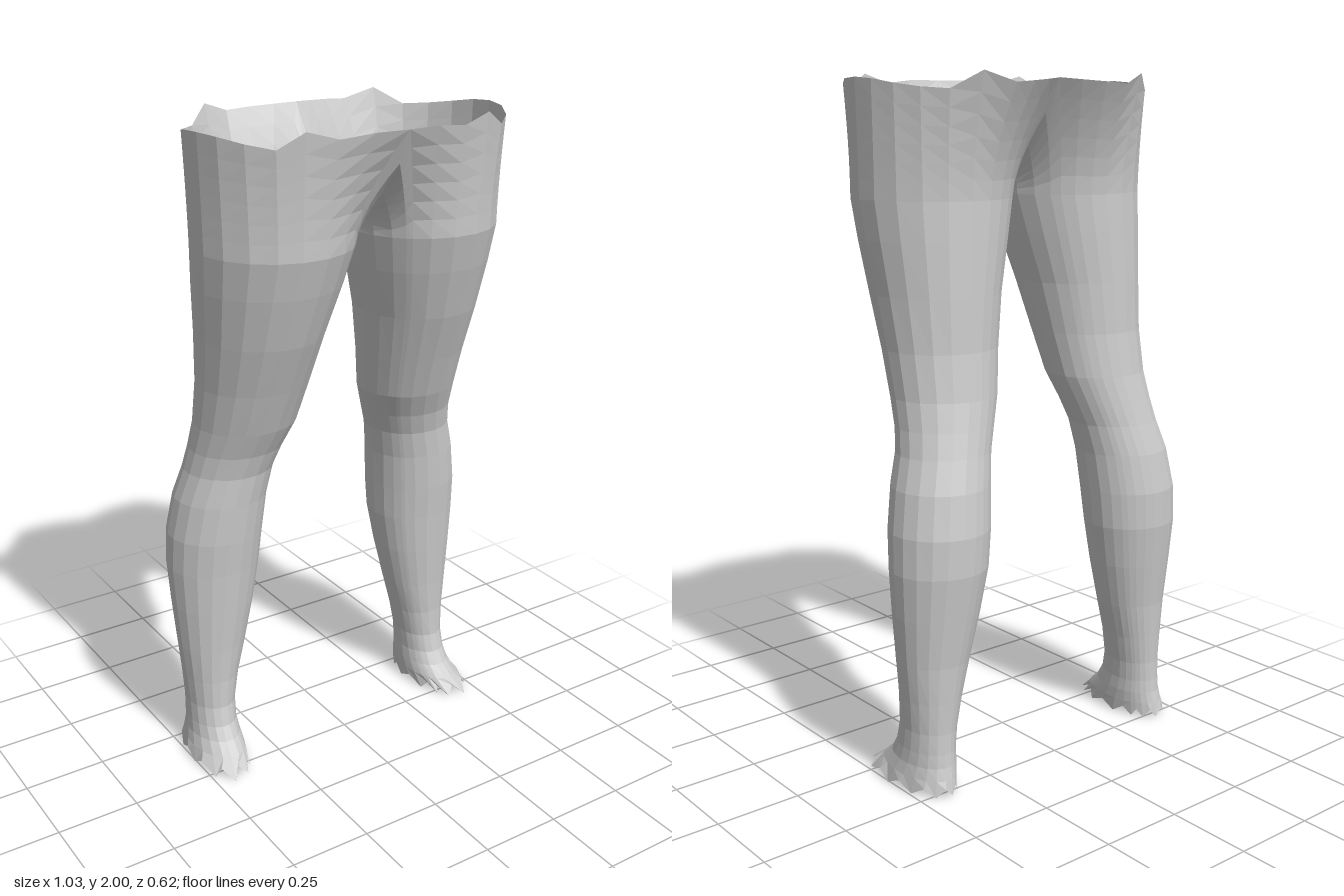
import * as THREE from 'three';

const material = new THREE.MeshStandardMaterial({
  color: 0xcccccc, flatShading: true, side: THREE.DoubleSide,
});

// Upper rim of one half [x, y, z]: front middle, round the outside to the back
// middle, then under the crotch to the front again.
const RIM = [
  [0, 1.985, 0.31], [0.1, 1.985, 0.303], [0.2, 1.975, 0.286], [0.29, 2, 0.27],
  [0.36, 1.957, 0.24], [0.42, 1.97, 0.185], [0.46, 1.982, 0.115], [0.477, 1.985, 0.04],
  [0.472, 1.98, -0.03], [0.45, 1.968, -0.1], [0.41, 1.958, -0.165], [0.355, 1.953, -0.22],
  [0.285, 2, -0.275], [0.2, 1.97, -0.306], [0.13, 1.975, -0.298], [0.06, 1.98, -0.275],
  [0, 1.985, -0.25],
  [0, 1.89, -0.19], [0, 1.8, -0.115], [0, 1.75, -0.045], [0, 1.738, 0.03],
  [0, 1.75, 0.11], [0, 1.8, 0.19], [0, 1.89, 0.265],
];

// Leg cross-sections: [y, inner x, outer x, front z, back z]
const LEG = [
  [1.66, 0.018, 0.472, 0.247, -0.215], [1.55, 0.045, 0.465, 0.215, -0.218],
  [1.4, 0.085, 0.452, 0.165, -0.222], [1.25, 0.112, 0.443, 0.105, -0.225],
  [1.12, 0.135, 0.443, 0.055, -0.24], [1.04, 0.165, 0.45, 0.018, -0.255],
  [0.97, 0.19, 0.462, -0.003, -0.27], [0.88, 0.207, 0.49, -0.012, -0.293],
  [0.76, 0.218, 0.511, -0.022, -0.31], [0.65, 0.228, 0.515, -0.035, -0.308],
  [0.52, 0.252, 0.508, -0.047, -0.29], [0.38, 0.285, 0.497, -0.06, -0.27],
  [0.27, 0.315, 0.486, -0.066, -0.262], [0.18, 0.333, 0.48, -0.065, -0.257],
];
const FOOT = [
  LEG[LEG.length - 1], [0.12, 0.337, 0.482, -0.05, -0.258],
  [0.08, 0.335, 0.486, -0.025, -0.262], [0.045, 0.335, 0.495, 0.015, -0.27],
];
const SOLE = [0.016, 0.336, 0.504, 0.055, -0.278];

// Each rim point sets the angle of one column of faces running down the leg
const ANGLES = RIM.map(([x, , z]) => Math.atan2(z - 0.015, x - 0.245));

function ring([y, xi, xo, zf, zb]) {
  return ANGLES.map((a) => [
    (xi + xo) / 2 + (xo - xi) / 2 * Math.cos(a), y,
    (zf + zb) / 2 + (zf - zb) / 2 * Math.sin(a),
  ]);
}

// Rings blending from the rim into the top of the thigh
function hipRings() {
  const thigh = ring(LEG[0]), rows = [], steps = 6;
  for (let i = 0; i <= steps; i++) {
    const t = i / steps, e = 1 - (1 - t) ** 1.6;
    rows.push(RIM.map((p, j) => [
      p[0] + (thigh[j][0] - p[0]) * e,
      p[1] + (thigh[j][1] - p[1]) * t,
      p[2] + (thigh[j][2] - p[2]) * e,
    ]));
  }
  return rows;
}

// Foot rings ending in a ragged open edge
function footRings() {
  const edge = ring(SOLE).map(([x, y, z], j) => {
    const toe = Math.max(0, Math.sin(ANGLES[j])), odd = j % 2;
    return [x + 0.012 * toe, odd ? y - 0.016 : y + 0.008, z + toe * (odd ? 0.018 : -0.018)];
  });
  return [...FOOT.map(ring), edge];
}

// Skin between successive closed rings; side = -1 mirrors it
function skin(name, rows, side) {
  const n = RIM.length, index = [];
  const positions = rows.flat().flatMap(([x, y, z]) => [x * side, y, z]);
  for (let i = 0; i < rows.length - 1; i++) {
    for (let j = 0; j < n; j++) {
      const a = i * n + j, b = i * n + (j + 1) % n, c = a + n, d = b + n;
      if (side > 0) index.push(a, c, d, a, d, b);
      else index.push(a, d, c, a, b, d);
    }
  }
  const geometry = new THREE.BufferGeometry();
  geometry.setAttribute('position', new THREE.Float32BufferAttribute(positions, 3));
  geometry.setIndex(index);
  geometry.computeVertexNormals();
  const mesh = new THREE.Mesh(geometry, material);
  mesh.name = name;
  return mesh;
}

export function createModel() {
  const model = new THREE.Group();
  model.name = 'legs';
  for (const [label, side] of [['left', 1], ['right', -1]]) {
    const half = new THREE.Group();
    half.name = label + 'Side';
    half.add(
      skin(label + 'Hip', hipRings(), side),
      skin(label + 'Leg', LEG.map(ring), side),
      skin(label + 'Foot', footRings(), side),
    );
    model.add(half);
  }
  return model;
}
